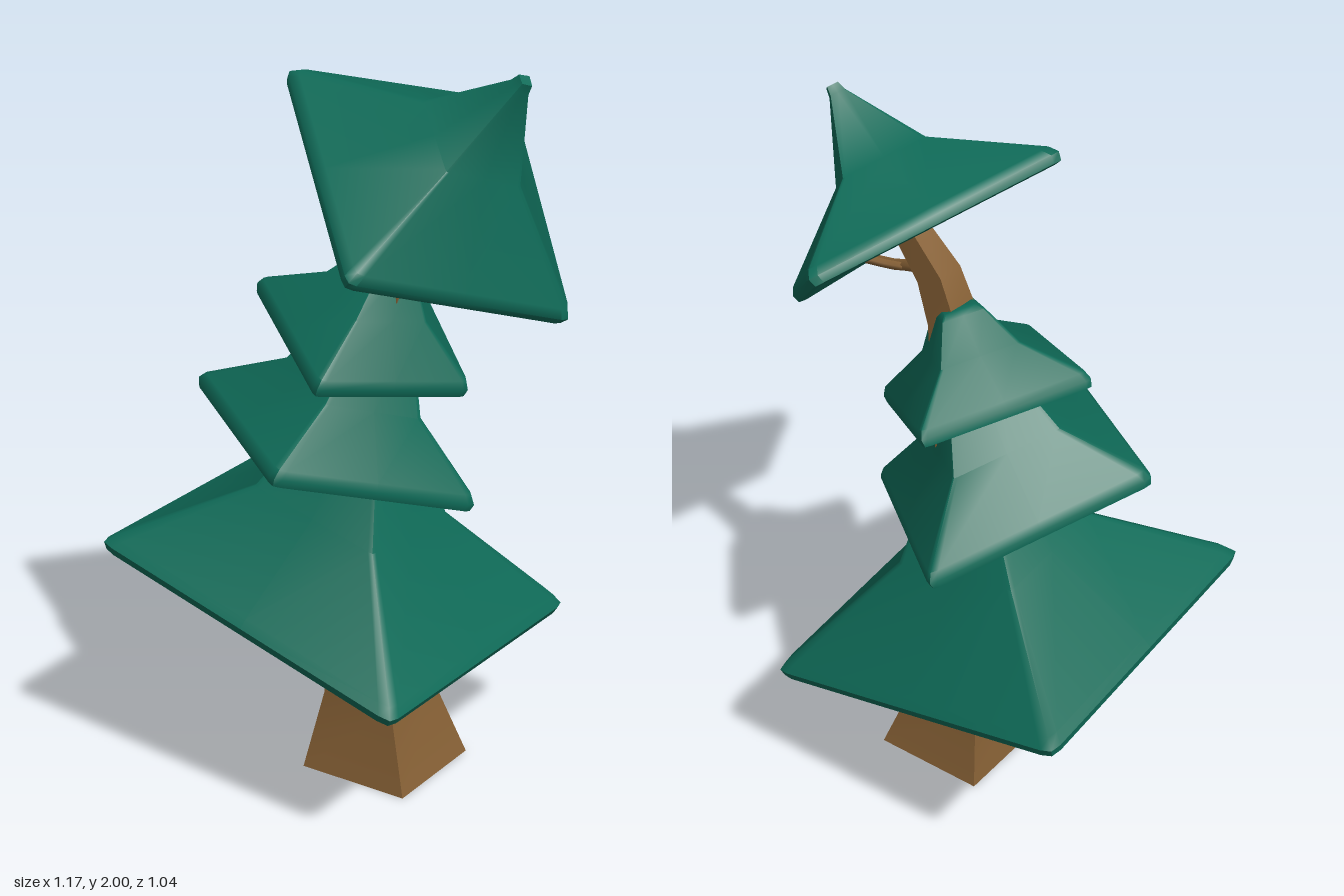
import * as THREE from 'three';
import { toCreasedNormals } from 'three/addons/utils/BufferGeometryUtils.js';

const needles = new THREE.MeshStandardMaterial({ color: 0x0f6b58 });
needles.name = 'pineGreen';
const bark = new THREE.MeshStandardMaterial({ color: 0x866035 });
bark.name = 'barkBrown';

const V = (x, y, z) => new THREE.Vector3(x, y, z);

// Skin a stack of loops, listed from top to bottom, and cap both ends
function loft(rings, crease) {
  const n = rings[0].length, points = [], index = [];
  for (const ring of rings) for (const p of ring) points.push(p);
  for (let i = 0; i < rings.length - 1; i++) {
    for (let j = 0; j < n; j++) {
      const a = i * n + j, b = i * n + (j + 1) % n;
      index.push(a, b, b + n, a, b + n, a + n);
    }
  }
  const middle = ring => ring.reduce((s, p) => s.add(p), V(0, 0, 0)).divideScalar(n);
  const top = points.push(middle(rings[0])) - 1;
  const bottom = points.push(middle(rings[rings.length - 1])) - 1;
  const last = (rings.length - 1) * n;
  for (let j = 0; j < n; j++) {
    const k = (j + 1) % n;
    index.push(top, k, j, bottom, last + j, last + k);
  }
  const geometry = new THREE.BufferGeometry().setFromPoints(points);
  geometry.setIndex(index);
  return toCreasedNormals(geometry, crease);
}

function addMesh(group, name, geometry, material) {
  const mesh = new THREE.Mesh(geometry, material);
  mesh.name = name;
  group.add(mesh);
}

// Hollow four-cornered skirt of foliage: corners run back, right, front, left
function skirt({ corners, peak, hub, mid, rise }) {
  const c = corners.map(p => V(...p));
  const centre = c.reduce((s, p) => s.add(p), V(0, 0, 0)).divideScalar(4);
  const axis = V(...peak).sub(centre), height = axis.length();
  const outline = [];
  c.forEach((p, i) => {
    const before = c[(i + 3) % 4], after = c[(i + 1) % 4];
    outline.push(
      p.clone().lerp(before, 0.04),
      p.clone().lerp(centre, 0.015),
      p.clone().lerp(after, 0.04),
      p.clone().lerp(after, 0.5));
  });
  // [spread, height along the axis]
  const lip = 1 / height;
  const profile = [
    [hub * 0.75, 1], [hub, 0.94], [mid, rise],
    [0.96, 0.022 * lip], [1, 0], [0.985, -0.022 * lip], [0.94, -0.025 * lip],
    [mid * 0.95, rise * 0.5], [hub, 0.5],
  ];
  return loft(profile.map(([f, h]) => outline.map(p =>
    p.clone().sub(centre).multiplyScalar(f).add(centre).addScaledVector(axis, h))), 0.9);
}

// Square trunk section, tipped towards +x by tilt
function section([x, y, z, half, tilt]) {
  return [[-1, -1], [1, -1], [1, 1], [-1, 1]].map(([sx, sz]) =>
    V(sx * half, 0, sz * half)
      .applyAxisAngle(V(0, 0, 1), -tilt)
      .add(V(x, y, z)));
}

function twig(points, radius) {
  const curve = new THREE.CatmullRomCurve3(points.map(p => V(...p)));
  return new THREE.TubeGeometry(curve, 6, radius, 5);
}

export function createModel() {
  const tree = new THREE.Group();
  tree.name = 'leaningPine';

  // Trunk bending over at the top
  const trunk = [
    [0.35, 1.77, 0, 0.03, 0.75],
    [0.25, 1.66, 0, 0.033, 0.75],
    [0.155, 1.55, 0, 0.042, 0.45],
    [0.11, 1.43, 0, 0.048, 0.25],
    [0.04, 1.0, 0, 0.075, 0.08],
    [0.04, 0.55, -0.01, 0.09, 0],
    [0.063, 0.22, -0.01, 0.11, 0],
    [0.083, 0, -0.01, 0.165, 0],
  ];
  addMesh(tree, 'trunk', loft(trunk.map(section), 0.6), bark);

  // Bare branch and its stub
  addMesh(tree, 'branch', twig([[0.14, 1.55, 0], [0.25, 1.53, 0.02],
    [0.32, 1.505, 0.03], [0.42, 1.49, 0.03]], 0.016), bark);
  addMesh(tree, 'branchStub', twig([[0.29, 1.515, 0.02], [0.33, 1.52, 0.0],
    [0.37, 1.535, -0.03]], 0.011), bark);

  // Foliage from bottom to top
  const tiers = {
    bottomFoliage: {
      corners: [[-0.59, 0.67, -0.525], [0.395, 0.39, -0.455], [0.44, 0.44, 0.51], [-0.54, 0.68, 0.45]],
      peak: [0.03, 1.04, 0], hub: 0.2, mid: 0.41, rise: 0.46,
    },
    lowerFoliage: {
      corners: [[-0.115, 0.91, -0.41], [0.36, 0.83, -0.02], [0.085, 1.02, 0.51], [-0.445, 1.08, 0.13]],
      peak: [0.07, 1.33, 0], hub: 0.25, mid: 0.48, rise: 0.4,
    },
    upperFoliage: {
      corners: [[-0.055, 1.31, -0.355], [0.315, 1.135, -0.05], [0.11, 1.215, 0.355], [-0.285, 1.36, 0.07]],
      peak: [0.1, 1.475, 0], hub: 0.25, mid: 0.47, rise: 0.5,
    },
    topFoliage: {
      corners: [[0.15, 1.79, -0.52], [0.585, 1.365, -0.09], [0.32, 1.575, 0.525], [-0.145, 1.96, 0.11]],
      peak: [0.49, 1.99, 0], hub: 0.06, mid: 0.34, rise: 0.45,
    },
  };
  for (const [name, tier] of Object.entries(tiers)) addMesh(tree, name, skirt(tier), needles);

  return tree;
}
